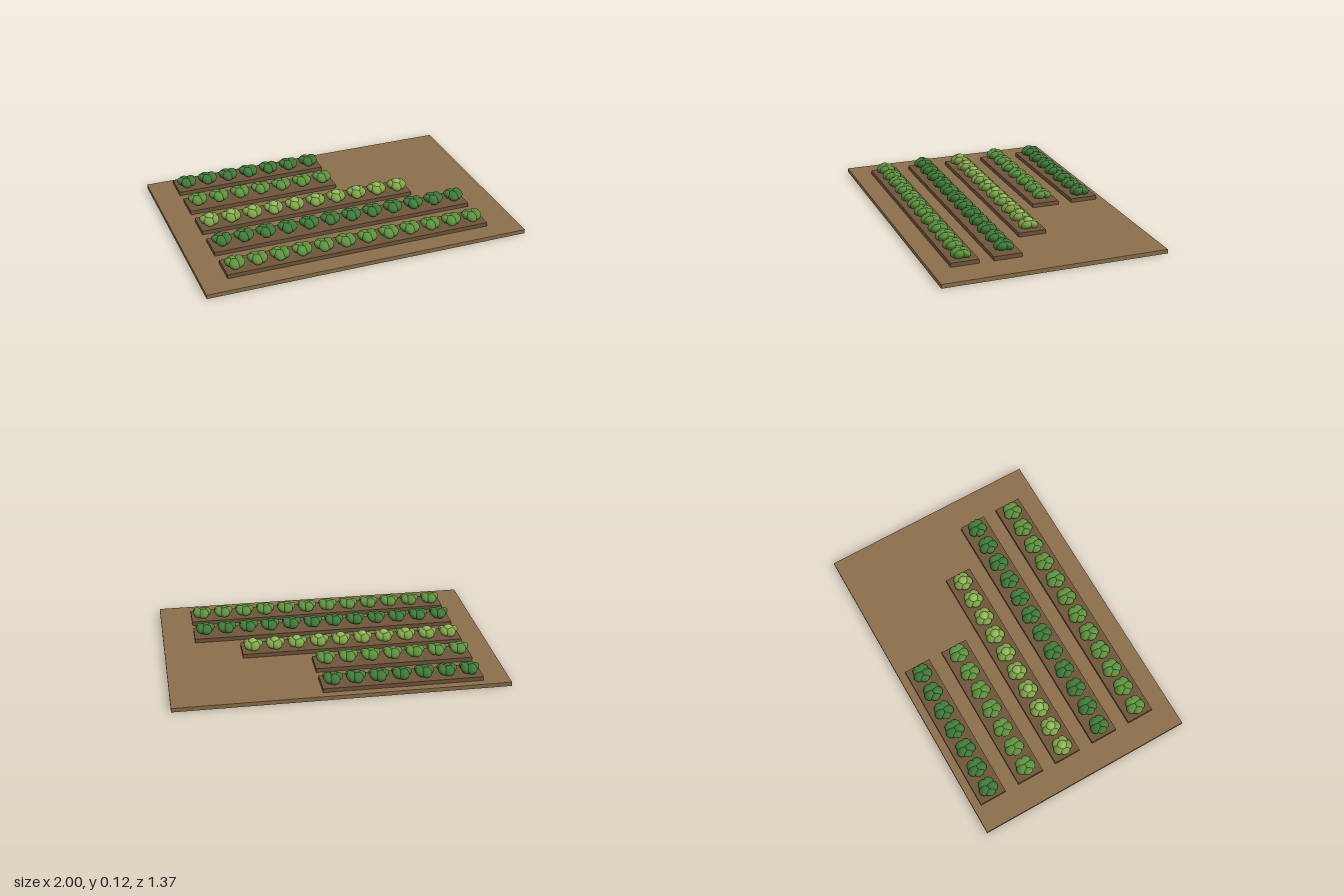
import * as THREE from 'three';

const PITCH = 0.137;      // one bed cell per plant
const START = -0.84;      // shared left end of every bed
const SOIL_TOP = 0.025;
const BED_TOP = 0.05;

// z position, plant count, leaf colour, height of the leaf centre, optional heart
const ROWS = [
  { z: 0.48, count: 12, color: 0x5c933e, y: 0.0755 },
  { z: 0.222, count: 12, color: 0x3e7a38, y: 0.084 },
  { z: -0.037, count: 10, color: 0x7da648, y: 0.0755, heart: 0x93b85c },
  { z: -0.294, count: 7, color: 0x5c933e, y: 0.084 },
  { z: -0.552, count: 7, color: 0x3e7a38, y: 0.0755 },
];

function material(color) {
  return new THREE.MeshStandardMaterial({ color });
}

function addMesh(parent, name, geometry, mat, x, y, z) {
  const mesh = new THREE.Mesh(geometry, mat);
  mesh.name = name;
  mesh.position.set(x, y, z);
  parent.add(mesh);
  return mesh;
}

const leafGeometry = new THREE.SphereGeometry(0.036, 16, 10).scale(1, 0.65, 0.95);
const heartGeometry = new THREE.SphereGeometry(0.03, 16, 10).scale(1, 0.8, 1);

// Five overlapping tilted lobes, with an optional round heart on top
function createPlant(leafMaterial, heartMaterial) {
  const plant = new THREE.Group();
  plant.name = 'plant';
  for (let i = 0; i < 5; i++) {
    const a = ((i + 0.5) / 5) * Math.PI * 2;
    const leaf = addMesh(plant, 'leaf', leafGeometry, leafMaterial,
      Math.cos(a) * 0.028, 0, Math.sin(a) * 0.028);
    leaf.rotation.set(0, a, 0.5);
  }
  if (heartMaterial) addMesh(plant, 'heart', heartGeometry, heartMaterial, 0, 0.016, 0);
  return plant;
}

export function createModel() {
  const model = new THREE.Group();
  model.name = 'vegetableField';

  // Ground slab
  addMesh(model, 'ground', new THREE.BoxGeometry(2, SOIL_TOP, 1.37),
    material(0x8b6f4a), 0, SOIL_TOP / 2, 0);

  // Raised beds, one block of soil and one plant per cell
  const bedMaterial = material(0x6f553b);
  const bedGeometry = new THREE.BoxGeometry(PITCH, BED_TOP - SOIL_TOP, 0.17);
  for (const row of ROWS) {
    const bed = new THREE.Group();
    bed.name = 'bedRow';
    bed.position.z = row.z;
    const leafMaterial = material(row.color);
    const heartMaterial = row.heart && material(row.heart);
    for (let i = 0; i < row.count; i++) {
      const x = START + PITCH * (i + 0.5);
      addMesh(bed, 'bedBlock', bedGeometry, bedMaterial, x, (SOIL_TOP + BED_TOP) / 2, 0);
      const plant = createPlant(leafMaterial, heartMaterial);
      plant.position.set(x, row.y, 0);
      bed.add(plant);
    }
    model.add(bed);
  }
  return model;
}
